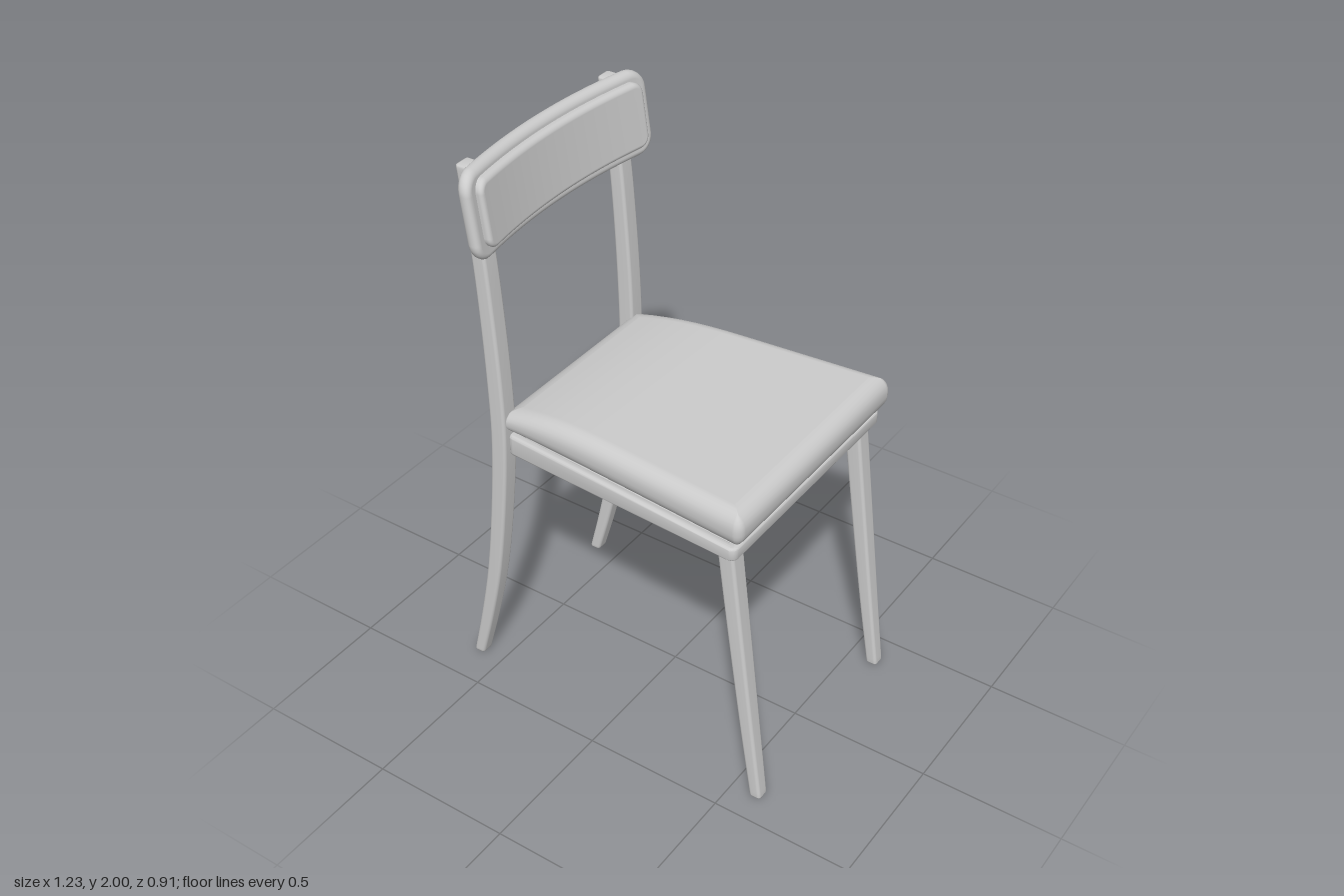
import * as THREE from 'three';
import { toCreasedNormals } from 'three/addons/utils/BufferGeometryUtils.js';

const material = new THREE.MeshStandardMaterial({ color: 0xcccccc });
const { lerp, clamp } = THREE.MathUtils;

// Rounded trapezoid outline (u0..u1 long, half widths h0 and h1), mirrored across v = 0
function outline(u0, u1, h0, h1, r, inset = 0, steps = 16, arc = 6) {
  const d = inset, rr = Math.max(r - d, 0.002), half = [];
  const a = [u1 - d - rr, h1 - d - rr], b = [u0 + d + rr, h0 - d - rr];
  const corner = (c, from) => {
    for (let i = 0; i <= arc; i++) {
      const t = from + (i / arc) * Math.PI / 2;
      half.push([c[0] + rr * Math.cos(t), c[1] + rr * Math.sin(t)]);
    }
  };
  corner(a, 0);
  for (let i = 1; i < steps; i++) {
    half.push([lerp(a[0], b[0], i / steps), lerp(a[1], b[1], i / steps) + rr]);
  }
  corner(b, Math.PI / 2);
  return [...half, ...half.map(([u, v]) => [u, -v]).reverse()];
}

// Skin a stack of equal rings of points and close both ends with strips
function skin(rings) {
  const n = rings[0].length, index = [];
  const quad = (a, b, c, d) => index.push(a, b, c, a, c, d);
  for (let r = 0; r < rings.length - 1; r++) {
    for (let i = 0; i < n; i++) {
      const j = (i + 1) % n;
      quad(r * n + i, r * n + j, (r + 1) * n + j, (r + 1) * n + i);
    }
  }
  const top = (rings.length - 1) * n;
  for (let i = 0; i < n / 2 - 1; i++) {
    quad(top + i, top + i + 1, top + n - 2 - i, top + n - 1 - i);
    quad(n - 1 - i, n - 2 - i, i + 1, i);
  }
  const geometry = new THREE.BufferGeometry();
  geometry.setAttribute('position', new THREE.Float32BufferAttribute(rings.flat(2), 3));
  geometry.setIndex(index);
  geometry.computeVertexNormals();
  return geometry;
}

// Slab with rounded rim; place(u, v, w) puts each point into the model
function slab(shape, thickness, bevel, place) {
  const levels = [], steps = 6;
  for (let i = 0; i <= steps; i++) {
    const t = (i / steps) * Math.PI / 2;
    levels.push([bevel * (1 - Math.sin(t)), bevel * (1 - Math.cos(t))]);
  }
  const upper = levels.map(([d, w]) => [d, thickness - w]).reverse();
  return skin([...levels, ...upper].map(([d, w]) =>
    outline(...shape, d).map(([u, v]) => place(u, v, w))));
}

// Leg through stations [x, y, z, width in x, width in z]
function leg(stations, side) {
  const path = new THREE.CatmullRomCurve3(stations.map(s => new THREE.Vector3(s[0], s[1], s[2])));
  const size = new THREE.CatmullRomCurve3(stations.map(s => new THREE.Vector3(s[3], s[1], s[4])));
  const ends = [0, 0.002, 0.005, 0.01];
  const ts = [...ends];
  for (let i = 1; i < 32; i++) ts.push(i / 32);
  ts.push(...ends.map(t => 1 - t).reverse());
  const y0 = stations[0][1], y1 = stations.at(-1)[1], r = 0.01;
  return skin(ts.map(t => {
    const p = path.getPoint(t), s = size.getPoint(t);
    const e = Math.max(0, r - Math.min(p.y - y0, y1 - p.y));
    const inset = r - Math.sqrt(Math.max(0, r * r - e * e));
    const w = s.x / 2, d = s.z / 2;
    return outline(-w, w, d, d, 0.011, inset, 2, 4)
      .map(([u, v]) => [p.x + u, p.y, side * p.z - v]);
  }));
}

export function createModel() {
  const chair = new THREE.Group();
  chair.name = 'chair';
  const add = (name, geometry) => {
    const mesh = new THREE.Mesh(geometry, material);
    mesh.name = name;
    chair.add(mesh);
  };

  // Seat cushion, sloping down towards the backrest
  add('seatCushion', slab([-0.425, 0.54, 0.375, 0.453, 0.03], 0.128, 0.056, (u, v, w) => {
    const t = clamp((0.02 - u) / 0.445, 0, 1);
    return [u, 1.048 + w - 0.055 * t ** 2.5 * (w / 0.128), -v];
  }));

  // Seat frame: thin open ring, deeper at the back
  const toPoints = ring => ring.map(([u, v]) => new THREE.Vector2(u, v));
  const bevel = 0.01;
  const shape = new THREE.Shape(toPoints(outline(-0.41, 0.513, 0.365, 0.44, 0.025, bevel, 2)));
  shape.holes.push(new THREE.Path(toPoints(outline(-0.387, 0.489, 0.343, 0.417, 0.012, 0, 2)).reverse()));
  const ring = new THREE.ExtrudeGeometry(shape, {
    depth: 0.05, bevelSize: bevel, bevelThickness: bevel, bevelSegments: 4,
  });
  ring.translate(0, 0, bevel).rotateX(-Math.PI / 2);
  const pos = ring.attributes.position;
  for (let i = 0; i < pos.count; i++) {
    const bottom = 0.96 + 0.03 * (pos.getX(i) + 0.4) / 0.91;
    pos.setY(i, lerp(bottom, 1.037, pos.getY(i) / (0.05 + 2 * bevel)));
  }
  add('seatFrame', toCreasedNormals(ring, 0.6));

  // Panel recessed in the frame, and the base that carries the cushion
  const flat = y => (u, v, w) => [u, y + w, -v];
  add('seatPanel', slab([-0.39, 0.495, 0.347, 0.42, 0.012], 0.014, 0.002, flat(1.021)));
  add('cushionBase', slab([-0.4, 0.478, 0.33, 0.405, 0.02], 0.027, 0.002, flat(1.033)));

  // Curved, tilted backrest board and its pad
  const bent = (middle, front) => (u, v, w) => {
    const y = middle - v;
    return [front + w + 0.235 * u * u - 0.14 * (y - 2), y, u];
  };
  add('backrestBoard', slab([-0.453, 0.453, 0.144, 0.144, 0.065], 0.048, 0.022, bent(1.856, -0.522)));
  add('backrestPad', slab([-0.412, 0.412, 0.111, 0.111, 0.04], 0.045, 0.016, bent(1.862, -0.494)));

  // Legs, mirrored left and right; the back ones rise into posts
  const backStations = [
    [-0.597, 0, 0.348, 0.042, 0.049], [-0.545, 0.2, 0.35, 0.049, 0.053],
    [-0.491, 0.45, 0.352, 0.055, 0.058], [-0.446, 0.8, 0.353, 0.059, 0.063],
    [-0.43, 1.03, 0.353, 0.06, 0.065], [-0.432, 1.22, 0.353, 0.06, 0.065],
    [-0.446, 1.5, 0.353, 0.056, 0.065], [-0.464, 1.72, 0.353, 0.054, 0.064],
    [-0.502, 1.992, 0.353, 0.05, 0.059],
  ];
  const frontStations = [
    [0.594, 0, 0.385, 0.042, 0.049], [0.555, 0.27, 0.383, 0.049, 0.055],
    [0.505, 0.64, 0.381, 0.055, 0.061], [0.455, 1.025, 0.379, 0.059, 0.065],
  ];
  for (const [side, label] of [[1, 'Left'], [-1, 'Right']]) {
    add('backLeg' + label, leg(backStations, side));
    add('frontLeg' + label, leg(frontStations, side));
  }
  return chair;
}
